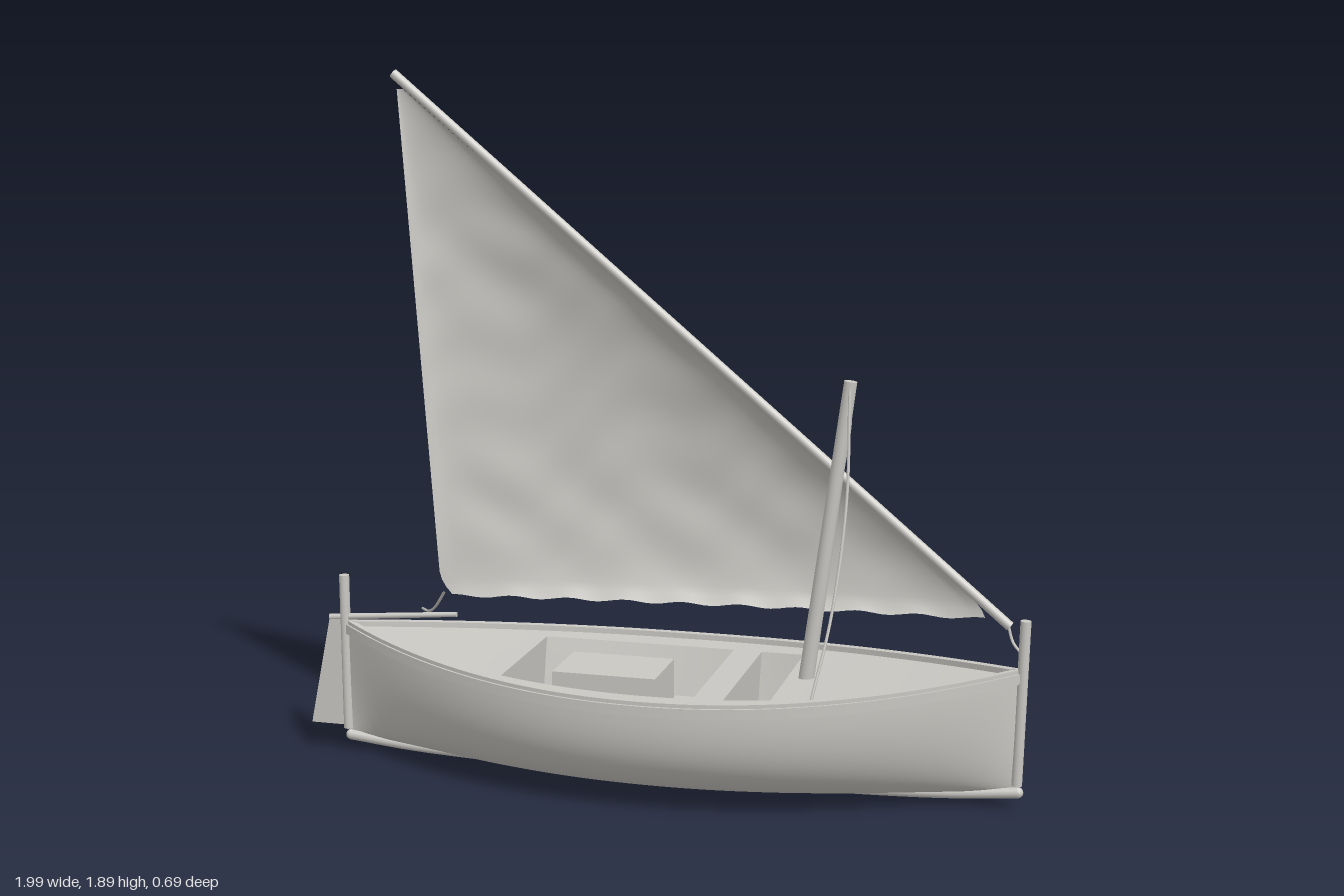
import * as THREE from 'three';
import { toCreasedNormals } from 'three/addons/utils/BufferGeometryUtils.js';
import { ParametricGeometry } from 'three/addons/geometries/ParametricGeometry.js';

const V = (x, y, z) => new THREE.Vector3(x, y, z);
const lerp = THREE.MathUtils.lerp;

// Hull lines: along(x) runs from -1 at the stern to 1 at the bow
const STERN = -0.89, BOW = 0.97;
const along = x => (x - 0.04) / 0.93;
const halfBeam = x => 0.335 * Math.max(0, 1 - Math.abs(along(x)) ** 2.1);
const sheer = x => 0.305 + 0.06 * along(x) ** 2;
const bottom = x => 0.022 + 0.03 * along(x) ** 4;

export function createModel() {
  const boat = new THREE.Group();
  boat.name = 'sailingBoat';
  const grey = new THREE.MeshStandardMaterial({ color: 0xcac8c3, side: THREE.DoubleSide });
  grey.name = 'paleGrey';

  const add = (name, geometry, parent = boat) => {
    const mesh = new THREE.Mesh(geometry, grey);
    mesh.name = name;
    parent.add(mesh);
    return mesh;
  };
  const group = name => {
    const g = new THREE.Group();
    g.name = name;
    boat.add(g);
    return g;
  };
  // Round spar between two points
  const spar = (name, a, b, ra, rb = ra) => {
    const mesh = add(name, new THREE.CylinderGeometry(rb, ra, a.distanceTo(b), 16));
    mesh.position.copy(a).add(b).multiplyScalar(0.5);
    mesh.quaternion.setFromUnitVectors(V(0, 1, 0), b.clone().sub(a).normalize());
    return mesh;
  };
  const rope = (name, points, r = 0.004) =>
    add(name, new THREE.TubeGeometry(new THREE.CatmullRomCurve3(points), 24, r, 6));

  // Hull shell: full rounded sections amidships, V-shaped at the ends
  add('hull', new ParametricGeometry((u, v, p) => {
    const x = lerp(STERN, BOW, u), a = v * Math.PI, c = Math.cos(a);
    const e = 2 / (2.8 - 1.2 * along(x) ** 2);
    const top = sheer(x), depth = top - bottom(x);
    p.set(x, top - depth * Math.max(0, Math.sin(a)) ** e,
      -halfBeam(x) * Math.sign(c) * Math.abs(c) ** e);
  }, 64, 40));

  // Gunwale and a narrower capping strip, swept along both sheer lines
  const rail = (name, side, out, inn, low, high) => {
    const section = [[out, low], [out, high], [-inn, high], [-inn, low]];
    const geo = new ParametricGeometry((u, v, p) => {
      const x = lerp(STERN, BOW, u), [dz, dy] = section[Math.round(v * 4) % 4];
      p.set(x, sheer(x) + dy, side * Math.max(0, halfBeam(x) + dz));
    }, 64, 4);
    add(name, toCreasedNormals(geo, 0.6));
  };
  for (const side of [1, -1]) {
    rail('gunwale', side, 0.011, 0.006, -0.025, 0.002);
    rail('railCap', side, 0.004, 0.018, -0.012, 0.012);
  }

  // Deck panels around two open wells
  const deck = group('deck');
  const deckY = x => sheer(x) - 0.003;
  const wellTop = x => 0.72 * halfBeam(x);
  const wellFoot = x => 0.6 * halfBeam(x);
  const floorY = 0.17;
  const panel = (name, x0, x1, zA, zB, yA, yB = yA, parent = deck) =>
    add(name, new ParametricGeometry((u, v, p) => {
      const x = lerp(x0, x1, u);
      p.set(x, lerp(yA(x), yB(x), v), lerp(zA(x), zB(x), v));
    }, 20, 2), parent);
  const neg = f => x => -f(x);
  const level = () => floorY;
  for (const [x0, x1] of [[STERN, -0.37], [0.16, 0.24], [0.36, BOW]])
    panel('deckPanel', x0, x1, halfBeam, neg(halfBeam), deckY);
  for (const [x0, x1] of [[-0.37, 0.16], [0.24, 0.36]]) {
    panel('sideDeck', x0, x1, halfBeam, wellTop, deckY);
    panel('sideDeck', x0, x1, neg(wellTop), neg(halfBeam), deckY);
    panel('wellSide', x0, x1, wellTop, wellFoot, deckY, level);
    panel('wellSide', x0, x1, neg(wellFoot), neg(wellTop), level, deckY);
    panel('wellFloor', x0, x1, wellFoot, neg(wellFoot), level);
    for (const [x, s] of [[x0, 1], [x1, -1]])
      add('wellEnd', new ParametricGeometry((u, v, p) => p.set(x,
        lerp(floorY, deckY(x), v),
        s * lerp(1, -1, u) * lerp(wellFoot(x), wellTop(x), v)), 2, 2), deck);
  }

  // Engine box standing in the main well
  const box = add('engineBox', new THREE.BoxGeometry(0.285, 0.135, 0.2));
  box.position.set(-0.118, floorY + 0.0675, 0);

  // Keel, stem and sternpost
  const keelLine = new THREE.CatmullRomCurve3([V(-0.885, 0.046, 0), V(-0.7, 0.029, 0),
    V(-0.4, 0.018, 0), V(0.04, 0.015, 0), V(0.5, 0.018, 0), V(0.78, 0.029, 0), V(0.97, 0.046, 0)]);
  add('keel', new THREE.TubeGeometry(keelLine, 48, 0.015, 10));
  for (const x of [-0.885, 0.97]) {
    const cap = add('keelEnd', new THREE.SphereGeometry(0.015, 10, 8));
    cap.position.set(x, 0.046, 0);
  }
  spar('sternpost', V(-0.892, 0.065, 0), V(-0.895, 0.505, 0), 0.014);
  spar('stem', V(0.967, 0.065, 0), V(0.978, 0.505, 0), 0.014);

  // Rudder blade and tiller
  const blade = new THREE.Shape([[-0.895, 0.075], [-0.895, 0.385], [-0.938, 0.385], [-1, 0.075]]
    .map(([x, y]) => new THREE.Vector2(x, y)));
  const rudder = add('rudder', new THREE.ExtrudeGeometry(blade, { depth: 0.014, bevelEnabled: false }));
  rudder.position.z = -0.007;
  spar('tiller', V(-0.94, 0.382, 0), V(-0.565, 0.415, 0), 0.009, 0.007);

  // Raked mast and long slanting yard
  spar('mast', V(0.408, 0.29, 0), V(0.516, 1.105, 0), 0.021, 0.017);
  spar('yard', V(-0.73, 1.877, -0.03), V(0.935, 0.48, -0.03), 0.013);

  // Triangular sail bellying towards -z, with soft creases
  const peak = V(-0.727, 1.852, 0), clew = V(-0.624, 0.455, 0), tack = V(0.9, 0.492, 0);
  const sail = new ParametricGeometry((u, v, p) => {
    const t = lerp(0.012, 1, v);
    const round = Math.max(0, (t - 0.95) / 0.05) ** 2;
    const w = 0.5 + (u - 0.5) * (1 - 0.04 * round);
    const a = 1 - t, b = t * (1 - w), c = t * w;
    const full = (27 * Math.max(0, a * b * c)) ** 0.6;
    p.set(0, 0, 0).addScaledVector(peak, a).addScaledVector(clew, b).addScaledVector(tack, c);
    const crease = 0.0022 * Math.sin(19 * p.x + 11 * p.y + 2 * Math.sin(9 * p.y))
      + 0.0015 * Math.sin(31 * p.y - 17 * p.x + 2 * Math.sin(13 * p.x));
    const foot = 0.025 * 4 * b * c * t ** 6;
    p.z = -0.042 - 0.088 * full - foot + crease * Math.min(1, full * 2);
    p.y += 0.004 * Math.sin(w * 60) * round;
  }, 64, 64);
  sail.computeVertexNormals();
  add('sail', sail);

  // Rigging lines
  rope('shroud', [V(0.516, 1.09, 0.012), V(0.522, 0.8, 0.07), V(0.502, 0.52, 0.155), V(0.468, 0.32, 0.235)]);
  rope('halyard', [V(0.514, 1.09, -0.01), V(0.512, 0.99, -0.026), V(0.492, 0.855, -0.032)]);
  rope('sheet', [V(-0.618, 0.462, -0.045), V(-0.665, 0.405, -0.1), V(-0.71, 0.372, -0.165), V(-0.757, 0.358, -0.238)]);
  rope('tackLine', [V(0.93, 0.485, -0.03), V(0.945, 0.44, -0.022), V(0.972, 0.415, 0)]);

  return boat;
}
